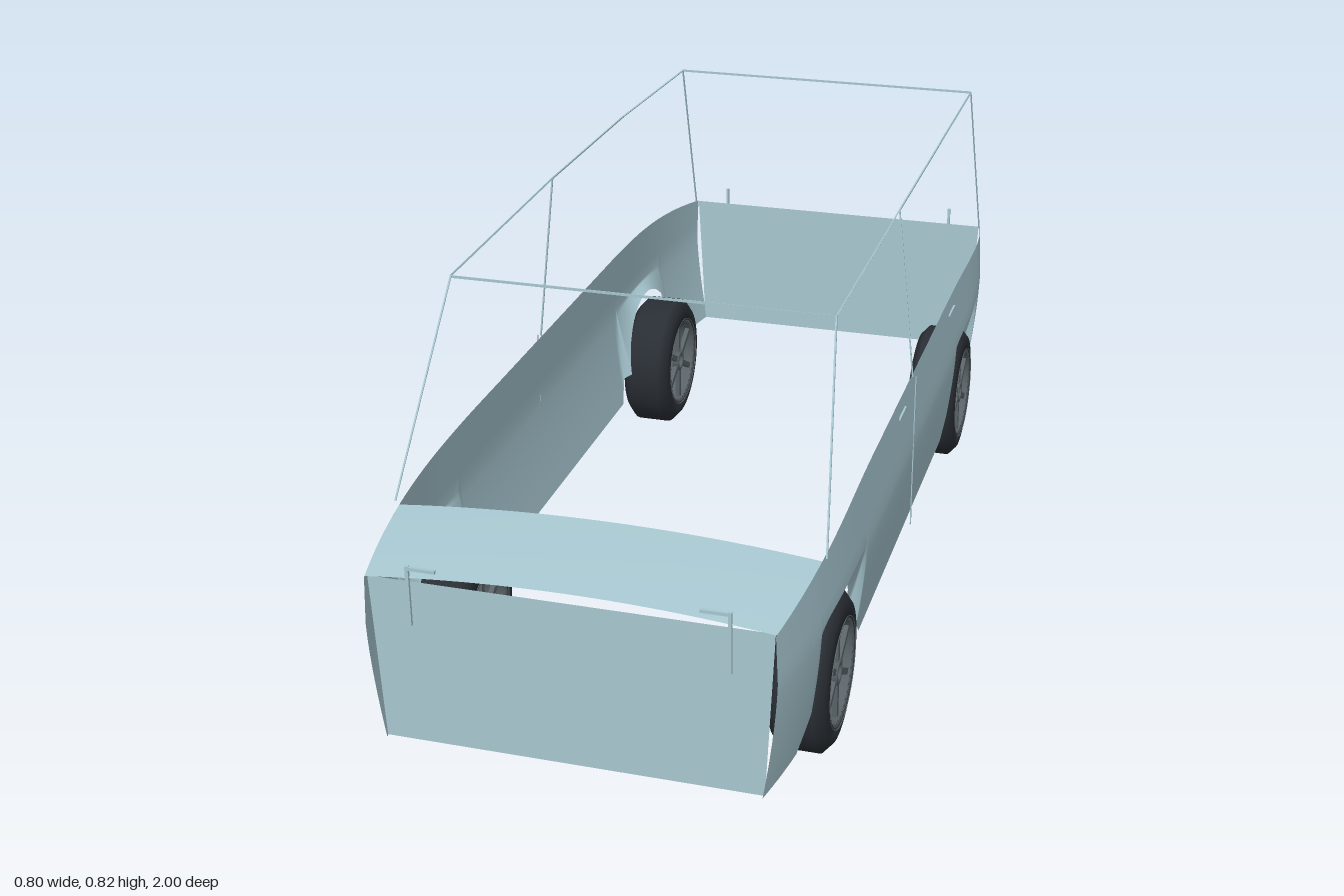
import * as THREE from 'three';

const mat = (name, color) => {
  const m = new THREE.MeshStandardMaterial({ color, side: THREE.DoubleSide });
  m.name = name;
  return m;
};

// Body surface rules
const BOTTOM = 0.105, CREASE = 0.33;
const beltY = z => 0.47 - 0.05 * Math.max(0, (Math.abs(z) - 0.4) / 0.6) ** 2;
const sideX = (y, z) => {
  const above = Math.max(0, (y - CREASE) / 0.14), below = Math.max(0, (CREASE - y) / (CREASE - BOTTOM));
  const taper = Math.max(0, (Math.abs(z) - 0.55) / 0.45) ** 2.5;
  return 0.4 - 0.01 * above - 0.024 * below ** 1.5 - (0.038 - 0.004 * above) * taper;
};

// Wheel arches: centre, and where the lower lip starts on either side
const WHEEL_Y = 0.148, ARCH_Y = 0.157, ARCH_R = 0.157;
const arches = [
  { z: 0.65, from: 0.43, to: 0.86 },
  { z: -0.615, from: -0.785, to: -0.43 },
];
const inArch = z => arches.some(a => Math.abs(z - a.z) < ARCH_R);
const lowerEdge = z => {
  for (const a of arches) {
    if (z <= a.from || z >= a.to) continue;
    const d = Math.abs(z - a.z);
    if (d < ARCH_R) return ARCH_Y + Math.sqrt(ARCH_R ** 2 - d * d);
    const end = z < a.z ? a.from : a.to;
    return BOTTOM + (ARCH_Y - BOTTOM) * Math.abs(end - z) / (Math.abs(end - a.z) - ARCH_R);
  }
  return BOTTOM;
};

// Open sheet from a grid of points
function sheet(cols, rows, point) {
  const pos = [], idx = [];
  for (let i = 0; i <= cols; i++)
    for (let j = 0; j <= rows; j++) pos.push(...point(i, j));
  for (let i = 0; i < cols; i++)
    for (let j = 0; j < rows; j++) {
      const a = i * (rows + 1) + j, b = a + rows + 1;
      idx.push(a, b, a + 1, b, b + 1, a + 1);
    }
  const g = new THREE.BufferGeometry();
  g.setAttribute('position', new THREE.Float32BufferAttribute(pos, 3));
  g.setIndex(idx);
  g.computeVertexNormals();
  return g;
}

// Straight bar between two points
function bar(name, a, b, width, height, material) {
  const p = new THREE.Vector3(...a), q = new THREE.Vector3(...b);
  const m = new THREE.Mesh(new THREE.BoxGeometry(width, height, p.distanceTo(q)), material);
  m.position.copy(p).add(q).multiplyScalar(0.5);
  m.quaternion.setFromUnitVectors(new THREE.Vector3(0, 0, 1), q.sub(p).normalize());
  m.name = name;
  return m;
}

function makeWheel(tyreMat, rimMat) {
  const wheel = new THREE.Group();
  wheel.name = 'wheel';
  const ring = (name, pts, material) => {
    const g = new THREE.LatheGeometry(pts.map(p => new THREE.Vector2(...p)), 40);
    g.rotateZ(-Math.PI / 2);
    const m = new THREE.Mesh(g, material);
    m.name = name;
    wheel.add(m);
  };
  ring('tyre', [[0.1, -0.055], [0.13, -0.051], [0.148, -0.035],
    [0.148, 0.035], [0.13, 0.051], [0.1, 0.055], [0.1, -0.055]], tyreMat);
  ring('rim', [[0.094, -0.05], [0.104, -0.056], [0.104, 0.056], [0.094, 0.05], [0.094, -0.05]], rimMat);
  // Hub and six spokes on each face
  for (const s of [-1, 1]) {
    const x = s * 0.042;
    ring('hub', [[0.014, x - 0.007], [0.024, x - 0.007], [0.024, x + 0.007], [0.014, x + 0.007],
      [0.014, x - 0.007]], rimMat);
    for (let i = 0; i < 6; i++) {
      const g = new THREE.BoxGeometry(0.01, 0.077, 0.012);
      g.translate(x, 0.0585, 0);
      g.rotateX(i * Math.PI / 3);
      const spoke = new THREE.Mesh(g, rimMat);
      spoke.name = 'spoke';
      wheel.add(spoke);
    }
  }
  return wheel;
}

export function createModel() {
  const paint = mat('body paint', 0xa7c7d0);
  const tyreMat = mat('tyre rubber', 0x292e34);
  const rimMat = mat('rim metal', 0x596267);
  const car = new THREE.Group();
  car.name = 'vanShell';
  const add = (name, geo) => {
    const m = new THREE.Mesh(geo, paint);
    m.name = name;
    car.add(m);
  };
  const addBar = (name, a, b, width = 0.003, height = width) => car.add(bar(name, a, b, width, height, paint));

  // Columns along the side, with close pairs at the arch edges
  const zs = [];
  for (let i = 0; i <= 100; i++) zs.push(-1 + i * 0.02);
  for (const a of arches) {
    zs.push(a.from, a.to);
    for (const s of [-1, 1])
      for (const d of [-0.006, -0.0005, 0.0005]) zs.push(a.z + s * (ARCH_R + d));
  }
  zs.sort((a, b) => a - b);

  for (const s of [-1, 1]) {
    // Side panel, pressed inward below the crease around the wheel openings
    add(s > 0 ? 'leftSidePanel' : 'rightSidePanel', sheet(zs.length - 1, 12, (i, j) => {
      const z = zs[i], low = lowerEdge(z);
      const y = j <= 8 ? low + (CREASE - low) * j / 8 : CREASE + (beltY(z) - CREASE) * (j - 8) / 4;
      const press = inArch(z) ? 0.022 * Math.max(0, 1 - j / 8) : 0;
      return [s * (sideX(y, z) - press), y, z];
    }));

    // Roof frame
    const A = [s * 0.353, 0.808, 0.58], B = [s * 0.355, 0.817, 0.045];
    const M = [s * 0.353, 0.815, -0.4], C = [s * 0.346, 0.803, -0.835];
    addBar('frontPillar', [s * 0.392, 0.455, 0.79], A);
    addBar('roofRail', A, B);
    addBar('roofRail', B, M);
    addBar('roofRail', M, C);
    addBar('middlePillar', B, [s * 0.393, 0.47, 0.045]);
    addBar('rearPillar', C, [s * 0.359, 0.422, -0.985]);
    // Door seam and handles
    addBar('doorSeam', [s * 0.4, 0.14, 0.045], [s * 0.4, 0.47, 0.045], 0.002, 0.004);
    for (const z of [0.15, -0.4])
      addBar('doorHandle', [s * 0.395, 0.437, z - 0.03], [s * 0.395, 0.437, z + 0.03], 0.004);
    // Lamp outlines
    addBar('headlampUpright', [s * 0.281, 0.336, 0.995], [s * 0.281, 0.45, 0.995], 0.006);
    addBar('headlampBrow', [s * 0.284, 0.446, 0.995], [s * 0.23, 0.446, 0.995], 0.006);
    addBar('tailLampUpright', [s * 0.281, 0.345, -1], [s * 0.281, 0.458, -1], 0.006);

    // Wheels
    for (const a of arches) {
      const wheel = makeWheel(tyreMat, rimMat);
      wheel.position.set(s * 0.34, WHEEL_Y, a.z);
      car.add(wheel);
    }
  }

  // Roof cross bars, thin upright strips
  addBar('frontRoofBar', [-0.353, 0.806, 0.58], [0.353, 0.806, 0.58], 0.001, 0.005);
  addBar('rearRoofBar', [-0.346, 0.803, -0.835], [0.346, 0.803, -0.835], 0.001, 0.005);

  // Flat end panels
  for (const [name, z] of [['frontPanel', 0.992], ['backPanel', -0.997]])
    add(name, sheet(1, 1, (i, j) => [(i ? 1 : -1) * (j ? 0.356 : 0.34), j ? 0.42 : BOTTOM, z]));

  // Crowned bonnet
  add('bonnet', sheet(20, 8, (i, j) => {
    const u = -1 + i / 10, z = 0.997 - 0.207 * j / 8, y = beltY(z);
    return [u * sideX(y, z), y + 0.021 * (1 - u * u), z];
  }));

  return car;
}
